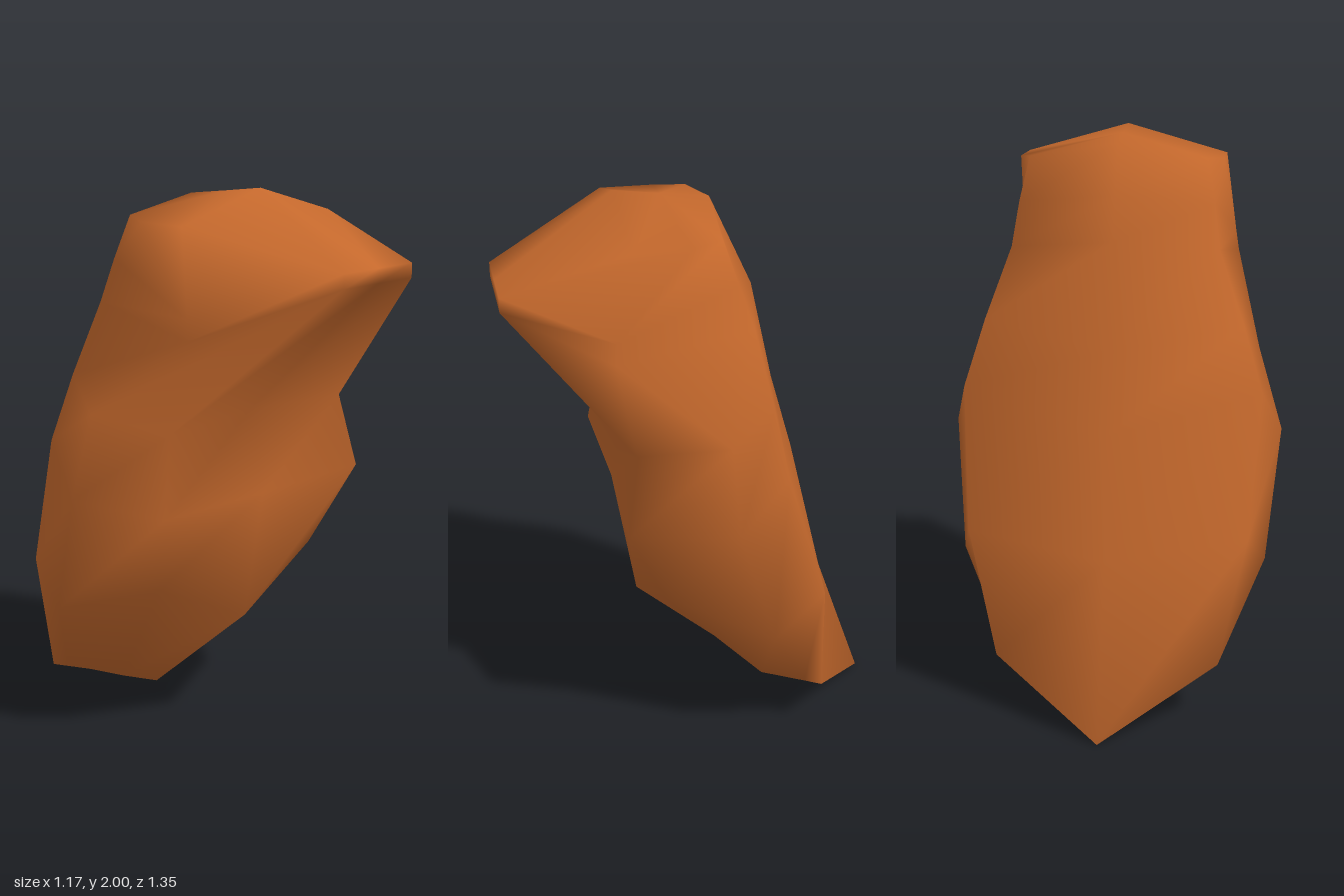
import * as THREE from 'three';

// One section: back ridge and front middle as [y, z]; back edge, flank and
// front corner as [x, y, z] on the +x side, mirrored to the other side.
// The front corners mirror about x = axis, which sets the beak off centre.
function section(back, edge, flank, corner, front, axis = 0) {
  const mirror = ([x, y, z], centre = 0) => [2 * centre - x, y, z];
  return [
    [0, ...back], edge, flank, corner, [axis, ...front],
    mirror(corner, axis), mirror(flank), mirror(edge),
  ];
}

// Closed smooth skin through the sections, with a centre point at each end
function loft(sections, bottom, top) {
  const n = sections[0].length, rows = sections.length;
  const points = [...sections.flat(), bottom, top];
  const index = [];
  for (let r = 0; r < rows - 1; r++) {
    for (let i = 0; i < n; i++) {
      const a = r * n + i, b = r * n + (i + 1) % n;
      index.push(b, a, a + n, b, a + n, b + n);
    }
  }
  for (let i = 0; i < n; i++) {
    const j = (i + 1) % n, last = (rows - 1) * n;
    index.push(i, j, rows * n, last + j, last + i, rows * n + 1);
  }
  const geometry = new THREE.BufferGeometry();
  geometry.setAttribute('position', new THREE.Float32BufferAttribute(points.flat(), 3));
  geometry.setIndex(index);
  geometry.computeVertexNormals();
  return geometry;
}

export function createModel() {
  const model = new THREE.Group();
  model.name = 'hoodedBody';
  const orange = new THREE.MeshStandardMaterial({ color: 0xc4682c });
  orange.name = 'burnt orange';

  const foot = section([0, -0.675], [0.39, 0.2, -0.42], [0.37, 0.21, -0.36], [0.2, 0.15, -0.24], [0.06, -0.27]);
  const belly = section([0.58, -0.47], [0.485, 0.65, -0.39], [0.54, 0.52, -0.2], [0.39, 0.64, 0.16], [0.46, 0.2]);
  const waist = section([1, -0.38], [0.52, 1.13, -0.24], [0.585, 0.96, -0.06], [0.49, 0.95, 0.3], [0.94, 0.285]);
  const neck = section([1.28, -0.3], [0.45, 1.36, -0.2], [0.5, 1.25, -0.05], [0.43, 1.22, 0.26], [1.23, 0.22]);
  const jaw = section([1.64, -0.22], [0.36, 1.61, -0.15], [0.405, 1.54, 0.32], [0.3, 1.71, 0.675], [1.71, 0.675], 0.125);
  const brim = section([1.79, -0.15], [0.34, 1.76, -0.1], [0.395, 1.61, 0.31], [0.3, 1.76, 0.675], [1.76, 0.675], 0.125);
  const crown = section([1.96, -0.07], [0.31, 1.91, -0.05], [0.36, 1.9, 0.06], [0.36, 1.9, 0.25], [2, 0.26]);

  const skin = loft([foot, belly, waist, neck, jaw, brim, crown], [0, 0.04, -0.42], [0, 1.98, 0.1]);
  const body = new THREE.Mesh(skin, orange);
  body.name = 'body';
  model.add(body);
  return model;
}
